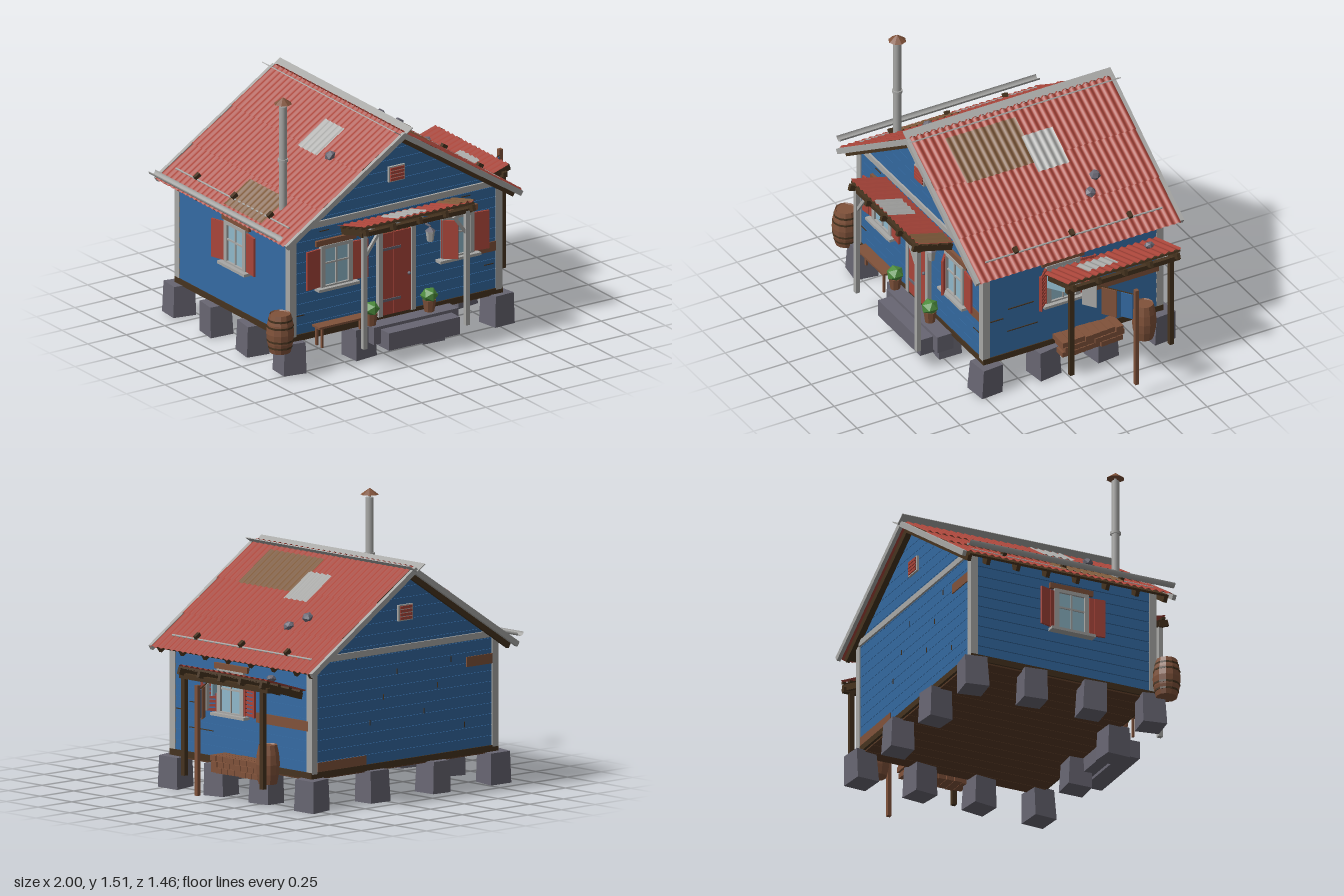
import * as THREE from 'three';

const mat = (name, color, side = THREE.FrontSide) => new THREE.MeshStandardMaterial({ name, color, side });
const blue = mat('blue paint', 0x33689f);
const red = mat('red paint', 0xa9453a, THREE.DoubleSide);
const grey = mat('pale grey', 0xa8a8a6, THREE.DoubleSide);
const stone = mat('stone', 0x686672);
const dark = mat('dark timber', 0x46331f);
const floorWood = mat('floor wood', 0x5a3b27);
const brown = mat('brown wood', 0x80523a);
const rust = mat('rusty tan', 0x7d593a, THREE.DoubleSide);
const glass = mat('glass', 0x8fb8ca);
const green = mat('leaf green', 0x4d8c3d);

const flat = (g) => {
  const f = g.index ? g.toNonIndexed() : g;
  f.computeVertexNormals();
  return f;
};
function add(parent, name, geo, material, x = 0, y = 0, z = 0) {
  const m = new THREE.Mesh(geo, material);
  m.name = name;
  m.position.set(x, y, z);
  parent.add(m);
  return m;
}
const box = (p, name, m, w, h, d, x, y, z) => add(p, name, new THREE.BoxGeometry(w, h, d), m, x, y, z);
function group(parent, name, x = 0, y = 0, z = 0) {
  const g = new THREE.Group();
  g.name = name;
  g.position.set(x, y, z);
  parent.add(g);
  return g;
}
// square beam between two points
function beam(parent, name, m, a, b, t) {
  const A = new THREE.Vector3(...a), B = new THREE.Vector3(...b);
  const o = box(parent, name, m, t, t, A.distanceTo(B), ...A.clone().add(B).multiplyScalar(0.5).toArray());
  o.lookAt(B);
  return o;
}
// corrugated sheet: ribs run along x, waves follow z
function sheet(parent, name, m, x0, x1, z0, z1, y0, y1 = y0) {
  const n = Math.round((z1 - z0) / 0.043 * 6);
  const g = new THREE.PlaneGeometry(x1 - x0, z1 - z0, 1, n).rotateX(-Math.PI / 2).translate((x0 + x1) / 2, 0, (z0 + z1) / 2);
  const p = g.attributes.position;
  for (let i = 0; i < p.count; i++) {
    const t = (p.getX(i) - x0) / (x1 - x0);
    p.setY(i, y0 + (y1 - y0) * t + 0.005 * Math.sin(p.getZ(i) / 0.043 * Math.PI * 2));
  }
  g.computeVertexNormals();
  return add(parent, name, g, m);
}
function rock(parent, x, y, z, r) {
  const o = add(parent, 'roofStone', flat(new THREE.IcosahedronGeometry(r, 0)), stone, x, y, z);
  o.scale.set(1, 0.7, 0.95);
  o.rotation.y = x * 9;
}

const CX = -0.155, HW = 0.685, ZF = 0.48, ZB = -0.627, ZM = (ZF + ZB) / 2;
const ANG = 0.5725, ROW = 0.0593, BASE = 0.21, APEX = 1.245;
const halfAt = (y) => Math.min(HW, Math.max(0, (APEX - y) / 0.645));

function walls(root) {
  const g = group(root, 'walls');
  const poly = (pts, depth) => new THREE.ExtrudeGeometry(new THREE.Shape(pts.map((p) => new THREE.Vector2(...p))), { depth, bevelEnabled: false });
  const h = HW - 0.008;
  add(g, 'wallCore', poly([[-h, BASE], [h, BASE], [h, 0.803], [0, APEX - 0.01], [-h, 0.803]], ZF - ZB - 0.012), blue, CX, 0, ZB + 0.006);
  // lapped siding boards, trimmed to the gable
  for (let y = BASE; y < APEX - 0.01; y += ROW) {
    const t = Math.min(y + ROW - 0.002, APEX);
    const a = halfAt(y), b = halfAt(t);
    const geo = poly(b > 0.001 ? [[-a, y], [a, y], [b, t], [-b, t]] : [[-a, y], [a, y], [0, t]], 0.012);
    add(g, 'frontSiding', geo, blue, CX, 0, ZF - 0.012);
    add(g, 'backSiding', geo, blue, CX, 0, ZB);
    if (y < 0.79) for (const s of [-1, 1]) {
      const o = box(g, 'sideSiding', blue, 0.01, ROW - 0.002, ZF - ZB, CX + s * (HW - 0.004), y + ROW / 2, ZM);
      o.rotation.z = s * 0.06;
    }
  }
  // corner boards, gable bands and louvred vents
  for (const [z, s] of [[ZF, 1], [ZB, -1]]) {
    for (const e of [-1, 1]) box(g, 'cornerBoard', grey, 0.042, 0.61, 0.042, CX + e * (HW - 0.015), 0.51, z - s * 0.014);
    box(g, 'gableBand', grey, 1.3, 0.034, 0.014, CX, 0.826, z + s * 0.005);
    box(g, 'ventFrame', grey, 0.105, 0.088, 0.014, CX, 1.017, z + s * 0.006);
    for (let i = 0; i < 4; i++) box(g, 'ventSlat', red, 0.088, 0.015, 0.014, CX, 0.987 + i * 0.02, z + s * 0.012);
  }
  // replacement boards
  box(g, 'repairBoard', brown, 0.008, 0.055, 0.41, CX + HW + 0.003, 0.467, -0.4);
  box(g, 'repairBoard', brown, 0.125, 0.055, 0.008, 0.44, 0.46, ZF + 0.002);
  box(g, 'repairBoard', brown, 0.19, 0.055, 0.008, -0.71, 0.69, ZB - 0.002);
  box(g, 'repairBoard', brown, 0.36, 0.05, 0.008, 0.31, 0.24, ZB - 0.002);
  // cracks in the boards
  for (const [x, y] of [[-0.78, 0.32], [0.3, 0.785], [0.45, 0.36], [-0.62, 0.78]]) box(g, 'crack', dark, 0.06, 0.005, 0.004, x, y, ZF + 0.001);
  for (const [z, y, w] of [[0.24, 0.35, 0.19], [0.25, 0.49, 0.16], [0.4, 0.44, 0.08]]) box(g, 'crack', dark, 0.006, 0.005, w, CX + HW + 0.002, y, z);
  for (let i = 0; i < 9; i++) box(g, 'crack', dark, 0.005, 0.03, 0.004, -0.6 + i * 0.1, 0.35 + (i * 37 % 50) / 100, ZB - 0.001);
}

function foundation(root) {
  const g = group(root, 'foundation');
  box(g, 'sillBeam', dark, 1.385, 0.035, 1.12, CX, 0.197, ZM);
  for (let i = 0; i < 16; i++) box(g, 'floorPlank', floorWood, 0.082, 0.01, 1.09, CX - 0.64 + i * 0.0855, 0.176, ZM);
  // rough stone piers around the edge
  for (let i = 0; i < 4; i++) for (let j = 0; j < 4; j++) {
    if (i % 3 && j % 3) continue;
    const geo = flat(new THREE.CylinderGeometry(0.09, 0.097, 0.175, 4, 1).rotateY(Math.PI / 4));
    const o = add(g, 'pier', geo, stone, -0.83 + i * 0.449, 0.093, 0.46 - j * 0.358);
    o.rotation.set(((i + j * 2) % 3 - 1) * 0.03, ((i * 3 + j * 5) % 5 - 2) * 0.06, ((i * 2 + j) % 3 - 1) * 0.03);
  }
  box(g, 'upperStep', stone, 0.55, 0.1, 0.1, -0.085, 0.142, 0.525);
  box(g, 'lowerStep', stone, 0.46, 0.1, 0.11, -0.085, 0.125, 0.6);
}

function roof(root) {
  const g = group(root, 'roof');
  for (const s of [-1, 1]) {
    const r = group(g, s > 0 ? 'rightRoof' : 'leftRoof', CX, 1.272, 0);
    r.rotation.z = -s * ANG;
    const strip = (name, m, u0, u1, z0, z1, y0, y1 = y0) => s > 0 ? sheet(r, name, m, u0, u1, z0, z1, y0, y1) : sheet(r, name, m, -u1, -u0, z0, z1, y1, y0);
    box(r, 'roofDeck', dark, 0.905, 0.012, 1.2, s * 0.4525, -0.014, -0.07);
    strip('roofSheet', red, 0, 0.335, -0.695, 0.55, 0.004, 0.01);
    strip('roofSheet', red, 0.31, 0.64, -0.695, 0.55, 0.001, 0.009);
    strip('roofSheet', red, 0.615, 0.924, -0.695, 0.55, 0, 0.005);
    if (s > 0) {
      strip('rustyPatch', rust, 0.065, 0.35, -0.07, 0.365, 0.011, 0.014);
      strip('greyPatch', grey, 0.185, 0.41, -0.24, -0.05, 0.02);
      rock(r, 0.523, 0.022, -0.345, 0.034);
      rock(r, 0.61, 0.022, -0.275, 0.034);
    } else {
      strip('rustyPatch', rust, 0.665, 0.865, -0.1, 0.275, 0.008, 0.009);
      strip('greyPatch', grey, 0.15, 0.365, 0, 0.19, 0.018);
      rock(r, -0.33, 0.022, 0.275, 0.034);
    }
    // ridge flashing, flared upward
    box(g, 'ridgeFlashing', grey, 0.07, 0.005, 1.29, CX + s * 0.03, 1.268, -0.085).rotation.z = s * ANG;
    // verge boards with rafters behind, then the rafter tails
    for (const z of [0.56, -0.708]) box(r, 'vergeBoard', grey, 0.915, 0.03, 0.022, s * 0.458, -0.014, z);
    for (const z of [0.52, -0.665]) box(r, 'vergeRafter', dark, 0.9, 0.035, 0.022, s * 0.45, -0.035, z);
    for (const z of [0.35, 0.17, -0.01, -0.19, -0.37, -0.55]) box(r, 'rafterTail', dark, 0.2, 0.035, 0.022, s * 0.8, -0.035, z);
    // snow guard rail resting between the ribs
    add(r, 'snowRail', new THREE.CylinderGeometry(0.006, 0.006, 1.1, 8).rotateX(Math.PI / 2), grey, s * 0.812, 0.004, -0.08);
    for (const z of [0.28, -0.07, -0.43]) box(r, 'railBracket', dark, 0.035, 0.025, 0.022, s * 0.8, 0.016, z);
  }
  // half-round gutter along the left eave
  const gutter = new THREE.CylinderGeometry(0.022, 0.022, 1.24, 10, 1, true, -Math.PI / 2, Math.PI).rotateX(Math.PI / 2);
  add(g, 'gutter', gutter, grey, -0.95, 0.825, -0.08);
  // stove pipe
  const p = group(g, 'stovePipe', -0.757, 0, 0.285);
  add(p, 'pipe', new THREE.CylinderGeometry(0.022, 0.022, 0.63, 12), grey, 0, 1.15, 0);
  add(p, 'pipeRing', new THREE.CylinderGeometry(0.029, 0.029, 0.015, 12), grey, 0, 1.155, 0);
  add(p, 'pipeNeck', new THREE.CylinderGeometry(0.008, 0.008, 0.04, 6), grey, 0, 1.47, 0);
  add(p, 'pipeCap', flat(new THREE.ConeGeometry(0.05, 0.036, 8)), brown, 0, 1.498, 0);
}

// awning in local space: x runs outward, z along the wall
function awning(parent, name, tilt, len, z0, z1, rafters, extras) {
  const a = group(parent, name);
  a.rotation.z = tilt;
  sheet(a, 'awningSheet', red, 0, len, z0, z1, 0.012);
  for (const z of rafters) box(a, 'awningRafter', dark, len + 0.015, 0.035, 0.02, (len + 0.015) / 2, -0.022, z);
  for (let i = 0; i < 4; i++) box(a, 'awningBatten', dark, 0.022, 0.012, z1 - z0 - 0.01, 0.03 + i * (len - 0.045) / 3, 0.001, (z0 + z1) / 2);
  extras(a);
}

function awnings(root) {
  const f = group(root, 'frontAwning', 0, 0.775, ZF);
  f.rotation.y = -Math.PI / 2;
  awning(f, 'frontAwningRoof', 0.26, 0.235, -0.213, 0.532, [0.503, 0.326, 0.155, -0.016, -0.19], (a) => {
    sheet(a, 'greyPatch', grey, 0.06, 0.238, 0.1, 0.29, 0.02);
    sheet(a, 'rustyPatch', rust, 0.02, 0.238, -0.215, -0.1, 0.018);
  });
  box(root, 'frontAwningBeam', dark, 0.72, 0.025, 0.025, -0.16, 0.795, 0.685);
  for (const [x, s] of [[-0.495, 1], [0.17, -1]]) {
    box(root, 'frontPost', grey, 0.026, 0.66, 0.026, x, 0.465, 0.685);
    beam(root, 'postBrace', grey, [x, 0.66, 0.685], [x + s * 0.085, 0.775, 0.685], 0.016);
  }
  const r = group(root, 'sideAwning', 0.535, 0.65, 0);
  awning(r, 'sideAwningRoof', 0.3, 0.3, -0.585, 0.122, [0.09, -0.065, -0.228, -0.387, -0.555], (a) => {
    sheet(a, 'greyPatch', grey, 0.08, 0.225, -0.235, -0.04, 0.02);
    rock(a, 0.16, 0.035, -0.465, 0.03);
  });
  box(root, 'sideAwningBeam', dark, 0.026, 0.028, 0.7, 0.8, 0.69, -0.23);
  for (const z of [0.09, -0.53]) box(root, 'sidePost', dark, 0.026, 0.56, 0.026, 0.8, 0.425, z);
}

// window facing +z with a pair of shutters, plain or louvred
function windowUnit(root, x, z, turn, swing, louvred) {
  const w = group(root, 'window', x, 0.575, z);
  w.rotation.y = turn;
  box(w, 'pane', glass, 0.17, 0.23, 0.008, 0, 0, 0.006);
  for (const s of [-1, 1]) {
    box(w, 'frameSide', grey, 0.026, 0.25, 0.026, s * 0.09, 0, 0.01);
    box(w, 'frameRail', grey, 0.2, 0.02, 0.026, 0, s * 0.115, 0.01);
    const h = group(w, 'shutter', s * 0.106, 0, 0.012);
    h.rotation.y = -s * (s < 0 ? swing : 0.12);
    if (louvred) {
      for (const e of [0.006, 0.088]) box(h, 'shutterStile', red, 0.012, 0.22, 0.016, s * e, 0, 0);
      for (let i = 0; i < 10; i++) box(h, 'shutterSlat', red, 0.07, 0.015, 0.006, s * 0.047, -0.1 + i * 0.0222, 0);
    } else {
      for (let i = 0; i < 3; i++) box(h, 'shutterPlank', red, 0.0305, 0.22, 0.012, s * (0.0165 + i * 0.031), 0, 0);
    }
  }
  box(w, 'mullion', grey, 0.01, 0.22, 0.016, 0, 0, 0.009);
  box(w, 'glazingBar', grey, 0.165, 0.01, 0.016, 0, 0.02, 0.009);
  box(w, 'windowSill', grey, 0.265, 0.016, 0.05, 0, -0.122, 0.022);
  box(w, 'windowHead', brown, 0.26, 0.032, 0.02, 0, 0.14, 0.008);
}

function door(root) {
  const d = group(root, 'door', -0.16, 0, ZF);
  for (let i = 0; i < 5; i++) box(d, 'doorPlank', red, 0.0365, 0.47, 0.02, -0.076 + i * 0.038, 0.45, 0.008);
  box(d, 'doorGap', dark, 0.19, 0.47, 0.01, 0, 0.45, 0.006);
  for (const s of [-1, 1]) box(d, 'doorJamb', grey, 0.026, 0.49, 0.03, s * 0.108, 0.457, 0.01);
  box(d, 'doorHead', grey, 0.34, 0.062, 0.032, 0, 0.735, 0.01);
  for (const y of [0.3, 0.595]) box(d, 'doorHinge', stone, 0.12, 0.014, 0.006, -0.035, y, 0.02);
  add(d, 'doorKnob', new THREE.SphereGeometry(0.01, 8, 6), stone, 0.077, 0.43, 0.025);
  const l = group(root, 'lantern', 0.04, 0.625, 0.525);
  add(l, 'lanternBody', flat(new THREE.CylinderGeometry(0.026, 0.018, 0.06, 6)), grey);
  add(l, 'lanternTop', flat(new THREE.ConeGeometry(0.03, 0.025, 6)), stone, 0, 0.042, 0);
  box(l, 'lanternArm', stone, 0.008, 0.008, 0.05, 0, 0.056, -0.022);
}

function barrel(root, x, y, z, r, h, hoops) {
  const b = group(root, 'barrel', x, y, z);
  const pts = [[0, 0], [0.76, 0], [0.93, 0.25], [1, 0.5], [0.93, 0.75], [0.76, 1], [0.7, 0.97], [0, 0.97]];
  add(b, 'staves', flat(new THREE.LatheGeometry(pts.map(([a, t]) => new THREE.Vector2(a * r, t * h)), 12)), brown);
  for (const [t, a] of hoops) add(b, 'hoop', flat(new THREE.CylinderGeometry(a * r, a * r, 0.011, 12)), dark, 0, t * h, 0);
}

function yard(root) {
  barrel(root, -0.925, 0.155, 0.51, 0.076, 0.22, [[0.15, 0.88], [0.32, 0.97], [0.68, 0.97], [0.85, 0.88]]);
  barrel(root, 0.675, 0.15, -0.435, 0.067, 0.215, []);
  // potted plants
  for (const x of [-0.35, 0.03]) {
    const p = group(root, 'pottedPlant', x, 0.195, 0.53);
    add(p, 'pot', flat(new THREE.CylinderGeometry(0.038, 0.028, 0.068, 8)), brown, 0, 0.034, 0);
    add(p, 'leaves', flat(new THREE.IcosahedronGeometry(0.05, 0)), green, 0, 0.092, 0).scale.y = 0.9;
  }
  // bench
  box(root, 'benchSeat', brown, 0.315, 0.012, 0.07, -0.557, 0.26, 0.54);
  for (const x of [-0.69, -0.41]) for (const z of [0.515, 0.565]) box(root, 'benchLeg', brown, 0.012, 0.11, 0.014, x, 0.2, z);
  // stacked firewood
  for (let r = 0; r < 3; r++) for (let i = 0; i < 8; i++) box(root, 'firewood', brown, 0.1 + (i * 7 + r * 3) % 4 * 0.007, 0.03, 0.045, 0.59, 0.165 + r * 0.032, 0.03 - i * 0.047 - (r % 2) * 0.012);
  // clothes line and washing
  const A = [0.535, 0.665, 0.115], B = [0.985, 0.665, -0.21];
  const at = (t, y) => [A[0] + 0.45 * t, y, A[2] - 0.325 * t];
  box(root, 'linePole', brown, 0.023, 0.605, 0.023, 0.985, 0.395, -0.21);
  beam(root, 'clothesLine', dark, A, B, 0.005);
  for (const [t, w, h, m] of [[0.16, 0.125, 0.09, glass], [0.5, 0.085, 0.14, grey], [0.71, 0.09, 0.17, brown], [0.9, 0.07, 0.155, blue]]) {
    box(root, 'washing', m, w, h, 0.008, ...at(t, 0.66 - h / 2)).rotation.y = Math.atan2(0.325, 0.45);
  }
}

export function createModel() {
  const root = new THREE.Group();
  root.name = 'cabin';
  foundation(root);
  walls(root);
  roof(root);
  awnings(root);
  door(root);
  windowUnit(root, -0.55, ZF, 0, 0.12, false);
  windowUnit(root, 0.238, ZF, 0, 2.45, false);
  windowUnit(root, CX + HW, -0.005, Math.PI / 2, 0.75, true);
  windowUnit(root, CX - HW, -0.03, -Math.PI / 2, 0.3, false);
  yard(root);
  return root;
}
